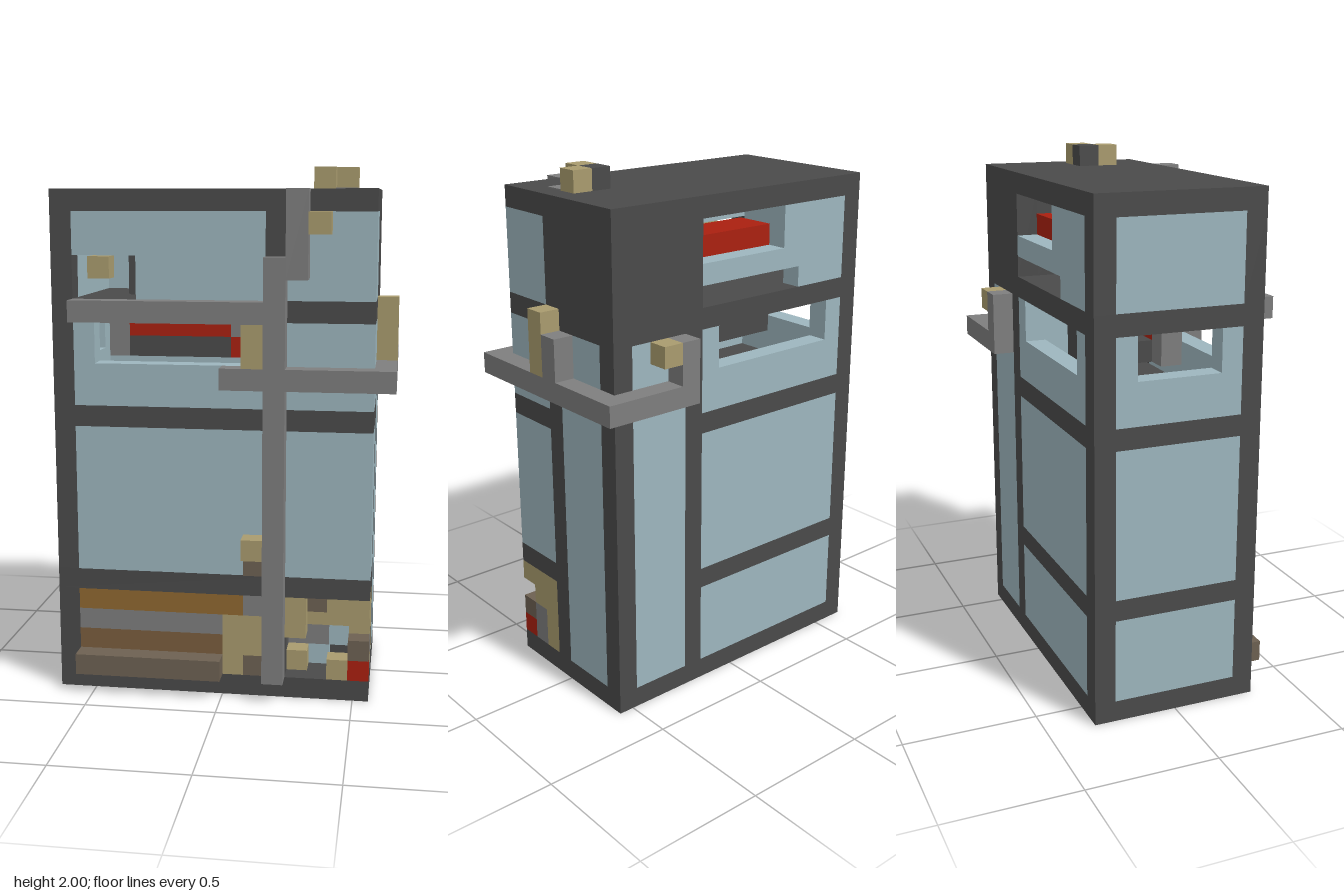
import * as THREE from 'three';

const U = 0.08; // size of one block

const mat = (name, color) => {
  const m = new THREE.MeshStandardMaterial({ color });
  m.name = name;
  return m;
};

export function createModel() {
  const model = new THREE.Group();
  model.name = 'tower';
  const dark = mat('charcoal', 0x4a4a4a);
  const grey = mat('pipe grey', 0x7e7e7e);
  const glass = mat('window blue', 0x9db6be);
  const brass = mat('brass', 0xa99b6e);
  const red = mat('red', 0xaa2010);
  const orange = mat('ochre', 0x8f6830);
  const brown = mat('brown', 0x7a5d3d);
  const umber = mat('umber', 0x6d6152);

  // Each row is x0, x1, y0, y1, z0, z1 in blocks
  const part = (name, material, rows) => {
    const group = new THREE.Group();
    group.name = name;
    for (const [x0, x1, y0, y1, z0, z1] of rows) {
      const geo = new THREE.BoxGeometry((x1 - x0) * U, (y1 - y0) * U, (z1 - z0) * U);
      const mesh = new THREE.Mesh(geo, material);
      mesh.name = name;
      mesh.position.set((x0 + x1) * U / 2, (y0 + y1) * U / 2, (z0 + z1) * U / 2);
      group.add(mesh);
    }
    model.add(group);
  };

  // Ground slab, roof and floors
  part('groundSlab', dark, [[-8, 7, 0, 1, -4, 4]]);
  part('roof', dark, [[-8, 7, 23, 24, -4, 4]]);
  for (const y of [5, 13, 18]) {
    part('floorSlab', dark, [[-8, 3, y, y + 1, -4, 4], [3, 7, y, y + 1, 1, 4]]);
  }

  // Posts and the blank rear corner
  part('post', dark, [
    [2, 3, 1, 23, 3, 4], [6, 7, 1, 18, -4, -3], [6, 7, 1, 18, 0, 1],
  ]);
  const storeys = [[1, 5], [6, 13], [14, 18], [19, 23]];
  for (const [a, b] of storeys) {
    part('post', dark, [[-8, -7, a, b, -4, -3], [-8, -7, a, b, 3, 4], [2, 3, a, b, -4, -3]]);
  }
  part('rearCornerWall', dark, [[3, 7, 18, 23, -4, 1], [2, 3, 19, 23, -3, 1]]);
  part('innerWall', dark, [[3, 6, 1, 18, 0, 1]]);

  // Tall windows of the stairwell
  part('stairWindow', glass, [[3, 6, 1, 18, -4, -3], [6, 7, 1, 18, -3, 0]]);

  // Wide windows of each storey
  storeys.forEach(([a, b], i) => {
    if (i > 0) part('cornerWindow', glass, [[3, 7, a, b, 3, 4], [6, 7, a, b, 1, 3]]);
    if (i !== 2) part('sideWindow', glass, [[-8, -7, a, b, -3, 3]]);
    if (i < 2) part('backWindow', glass, [[-7, 2, a, b, -4, -3]]);
  });
  part('frontWindow', glass, [[-7, 2, 6, 13, 3, 4]]);

  // Broken windows
  for (const z of [-4, 3]) {
    part('openWindow', glass, [
      [-7, 2, 14, 16, z, z + 1], [-7, -6, 16, 18, z, z + 1], [1, 2, 16, 18, z, z + 1],
    ]);
  }
  part('openSideWindow', glass, [
    [-8, -7, 14, 16, -3, 3], [-8, -7, 16, 18, -3, -2], [-8, -7, 16, 18, 2, 3],
  ]);
  part('brokenFrontWindow', glass, [[-4, 2, 19, 23, 3, 4], [-7, -4, 21, 23, 3, 4]]);
  part('brokenBackWindow', glass, [
    [-7, -4, 19, 23, -4, -3], [-4, -3, 20, 23, -4, -3], [-3, 2, 20, 21, -4, -3],
  ]);

  // Machinery inside
  part('innerCore', dark, [[-5, 2, 19, 21, 0, 1], [-5, 0, 16, 17, -1, 1]]);
  part('innerPipe', grey, [[-6, -5, 16, 18, 0, 1], [0, 1, 17, 18, 0, 1]]);
  part('innerRedPipe', red, [
    [-5, 0, 17, 18, 0, 1], [0, 1, 16, 17, 0, 1], [-3, 2, 21, 22, -3, -1],
  ]);

  // Shutter and bench at street level
  part('shutterTop', orange, [[-7, 1, 4, 5, 3, 4]]);
  part('shutterMiddle', grey, [[-7, 0, 3, 4, 3, 4], [1, 2, 4, 5, 3, 4]]);
  part('shutterBottom', brown, [[-7, 0, 1, 3, 3, 4]]);
  part('bench', umber, [[-7, 0, 1, 2, 4, 5]]);
  part('doorFrame', brass, [[0, 1, 1, 4, 3, 4], [1, 2, 2, 4, 3, 4]]);
  part('doorStep', umber, [[1, 2, 1, 2, 3, 4]]);
  part('wallTile', umber, [[1, 2, 6, 7, 4, 4.08]]);

  // Open corner shop
  part('shopFrame', brass, [
    [6, 7, 1, 5, 1, 2], [3, 6, 3, 5, 1, 2], [6, 7, 3, 5, 2, 3],
    [5, 7, 4, 5, 3, 4], [3, 4, 3, 5, 3, 4], [5, 6, 1, 2, 3, 4], [3, 4, 1, 2, 2, 3],
  ]);
  part('shopCounter', grey, [[3, 5, 2, 3, 1, 2], [6, 7, 1, 3, 2, 3]]);
  part('shopPane', glass, [[4, 5, 1, 2, 1, 2], [5, 6, 2, 3, 1, 2]]);
  part('shopSign', umber, [[4, 5, 4, 5, 2, 3], [6, 7, 2, 3, 3, 4]]);
  part('shopBox', red, [[6, 7, 1, 2, 3, 4]]);

  // Outside pipes
  part('frontPipe', grey, [
    [2, 3, 1, 21, 4, 5], [3, 4, 20, 24, 4, 5], [-7, 2, 18, 19, 4, 5],
    [0, 2, 15, 16, 4, 5], [3, 8, 15, 16, 4, 5],
  ]);
  part('sidePipe', grey, [[7, 8, 15, 16, -4, 4], [7, 8, 16, 18, -1, 0]]);
  part('backPipe', grey, [[3, 8, 15, 16, -5, -4], [3, 4, 16, 18, -5, -4]]);

  // Brass valves and fittings
  part('valve', brass, [
    [-6, -5, 20, 21, 4, 5], [4, 5, 22, 23, 4, 5], [1, 2, 16, 18, 4, 5],
    [1, 2, 7, 8, 4, 5], [7, 8, 16, 19, 0, 1], [4, 5, 17, 18, -5, -4],
  ]);

  // Roof vents
  part('roofVent', brass, [[4, 5, 24, 25, 1, 2], [5, 6, 24, 25, 0, 1]]);
  part('roofBlock', dark, [[4, 5, 24, 25, 0, 1]]);
  part('roofTile', grey, [[5, 6, 24, 24.06, 1, 2]]);

  return model;
}
